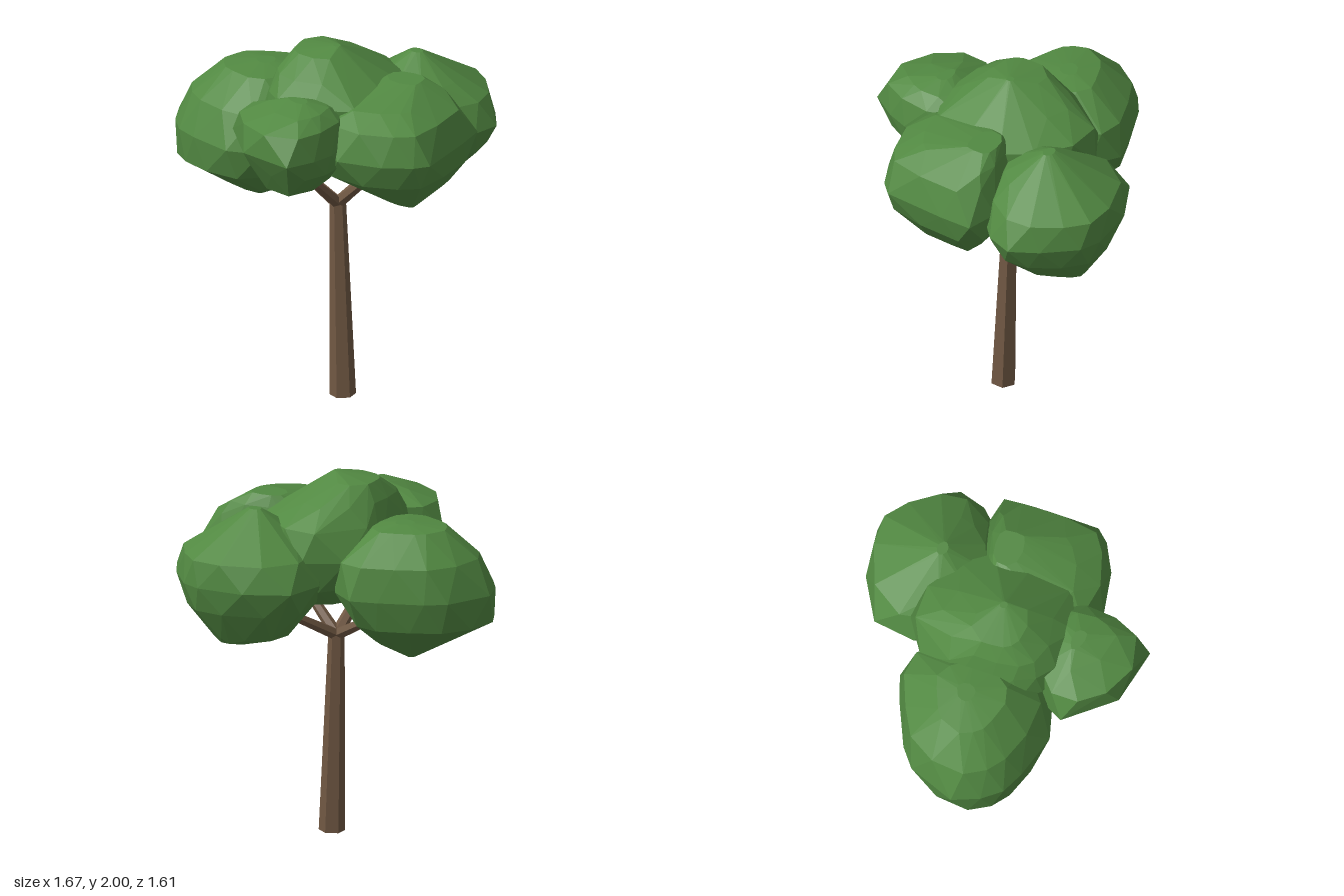
import * as THREE from 'three';
import { ConvexGeometry } from 'three/addons/geometries/ConvexGeometry.js';

const mat = (name, color) => {
  const m = new THREE.MeshStandardMaterial({ color, flatShading: true });
  m.name = name;
  return m;
};

// Faceted clump of leaves: hull of staggered rings that repeat a plan outline
// of [x, z] corners, each fitted into [y, xMin, xMax, zMin, zMax]
function clumpGeometry(outline, rings) {
  const corners = outline.map((p) => new THREE.Vector2(...p));
  const middles = corners.map((p, i) => p.clone().lerp(corners[(i + 1) % corners.length], 0.5));
  const points = [];
  rings.forEach(([y, x0, x1, z0, z1], row) => {
    const plan = row % 2 ? corners : middles;
    const box = new THREE.Box2().setFromPoints(plan);
    const size = box.getSize(new THREE.Vector2());
    for (const p of plan) {
      const t = p.clone().sub(box.min).divide(size);
      points.push(new THREE.Vector3(x0 + (x1 - x0) * t.x, y, z0 + (z1 - z0) * t.y));
    }
  });
  return new ConvexGeometry(points);
}

// Tapered six-sided limb between two points
function limb(name, a, b, ra, rb, material) {
  const from = new THREE.Vector3(...a);
  const to = new THREE.Vector3(...b);
  const axis = to.clone().sub(from);
  const geometry = new THREE.CylinderGeometry(rb, ra, axis.length(), 6).rotateY(Math.PI / 12);
  const mesh = new THREE.Mesh(geometry, material);
  mesh.name = name;
  mesh.position.copy(from).add(to).multiplyScalar(0.5);
  mesh.quaternion.setFromUnitVectors(new THREE.Vector3(0, 1, 0), axis.normalize());
  return mesh;
}

// Leaf clumps: plan outline, then rings from bottom to top
const clumps = {
  rightClump: {
    outline: [[-0.84, 0.32], [-0.8, 0.05], [-0.72, -0.05], [-0.52, -0.2], [-0.39, -0.28], [-0.22, -0.22],
      [-0.02, -0.02], [0, 0.25], [-0.1, 0.49], [-0.27, 0.58], [-0.52, 0.56], [-0.65, 0.53], [-0.75, 0.45]],
    rings: [
      [1.05, -0.41, -0.37, 0.16, 0.2],
      [1.15, -0.57, -0.19, -0.02, 0.38],
      [1.28, -0.81, -0.08, -0.18, 0.56],
      [1.45, -0.84, 0, -0.28, 0.58],
      [1.63, -0.76, -0.02, -0.24, 0.5],
      [1.78, -0.6, -0.2, -0.05, 0.34],
      [1.8, -0.44, -0.34, 0.08, 0.18],
    ],
  },
  backClump: {
    outline: [[-0.22, -0.55], [-0.03, -0.72], [0.22, -0.805], [0.34, -0.79], [0.52, -0.67], [0.64, -0.55],
      [0.63, -0.4], [0.52, -0.22], [0.3, -0.07], [0, -0.1], [-0.2, -0.32]],
    rings: [
      [1.17, 0.08, 0.3, -0.64, -0.42],
      [1.2, -0.03, 0.4, -0.66, -0.22],
      [1.36, -0.16, 0.58, -0.77, -0.08],
      [1.5, -0.22, 0.64, -0.805, -0.06],
      [1.64, -0.16, 0.58, -0.79, -0.08],
      [1.73, 0, 0.45, -0.57, -0.15],
      [1.86, 0.17, 0.25, -0.42, -0.36],
    ],
  },
  leftClump: {
    outline: [[0.53, -0.32], [0.71, -0.32], [0.76, -0.15], [0.835, 0.19], [0.79, 0.27], [0.66, 0.38],
      [0.43, 0.475], [0.2, 0.4], [0.1, 0.15], [0.15, -0.12], [0.32, -0.24]],
    rings: [
      [1.24, 0.45, 0.64, 0.04, 0.14],
      [1.29, 0.3, 0.68, -0.2, 0.2],
      [1.42, 0.15, 0.78, -0.31, 0.4],
      [1.56, 0.1, 0.835, -0.32, 0.475],
      [1.72, 0.14, 0.76, -0.27, 0.41],
      [1.79, 0.2, 0.63, -0.23, 0.31],
      [1.85, 0.3, 0.5, -0.18, -0.02],
    ],
  },
  frontClump: {
    outline: [[-0.2, 0.61], [-0.1, 0.45], [0, 0.36], [0.2, 0.24], [0.37, 0.33], [0.43, 0.53],
      [0.42, 0.65], [0.37, 0.805], [0.06, 0.805], [-0.03, 0.72]],
    rings: [
      [1.34, 0.08, 0.25, 0.4, 0.52],
      [1.38, -0.02, 0.3, 0.3, 0.68],
      [1.5, -0.14, 0.41, 0.24, 0.75],
      [1.61, -0.2, 0.43, 0.22, 0.805],
      [1.75, -0.14, 0.4, 0.25, 0.8],
      [1.81, 0, 0.33, 0.35, 0.64],
      [1.84, 0.1, 0.22, 0.45, 0.52],
    ],
  },
  topClump: {
    outline: [[-0.34, -0.05], [-0.22, -0.34], [-0.02, -0.38], [0.2, -0.3], [0.35, -0.17], [0.42, 0.05],
      [0.4, 0.3], [0.2, 0.45], [-0.05, 0.47], [-0.17, 0.41], [-0.25, 0.31], [-0.31, 0.1]],
    rings: [
      [1.32, -0.08, 0.2, -0.15, 0.2],
      [1.45, -0.26, 0.35, -0.32, 0.38],
      [1.62, -0.34, 0.42, -0.38, 0.46],
      [1.78, -0.28, 0.42, -0.36, 0.46],
      [1.88, -0.22, 0.25, -0.2, 0.38],
      [1.97, -0.16, 0.13, -0.02, 0.25],
      [2, 0.05, 0.09, 0.06, 0.1],
    ],
  },
};

export function createModel() {
  const tree = new THREE.Group();
  tree.name = 'tree';
  const bark = mat('bark', 0x705843);
  const leaf = mat('leaf green', 0x528942);

  // Leaning trunk
  tree.add(limb('trunk', [0.115, 0.003, 0.085], [0.075, 1.11, 0.08], 0.07, 0.043, bark));

  // Branches fanning out of the trunk top into the clumps
  const fork = [0.075, 1.09, 0.08];
  const branches = {
    rightBranch: [-0.27, 1.28, 0.13],
    leftBranch: [0.36, 1.36, 0.07],
    frontBranch: [0.13, 1.42, 0.45],
    backBranch: [0.15, 1.3, -0.3],
  };
  for (const [name, end] of Object.entries(branches)) tree.add(limb(name, fork, end, 0.034, 0.022, bark));

  for (const [name, { outline, rings }] of Object.entries(clumps)) {
    const clump = new THREE.Mesh(clumpGeometry(outline, rings), leaf);
    clump.name = name;
    tree.add(clump);
  }
  return tree;
}
